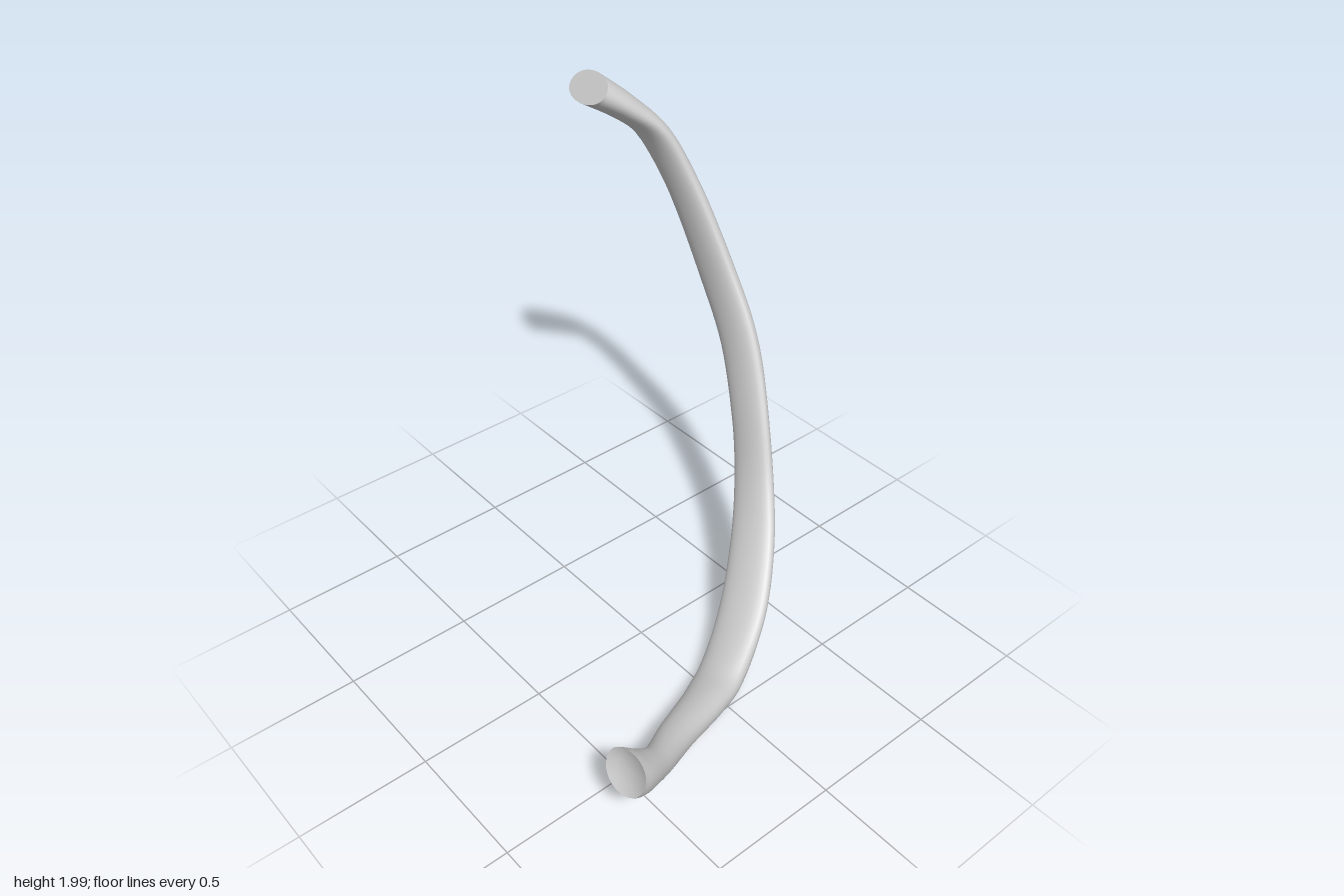
import * as THREE from 'three';

// Stations along the bone: centre x, y, z, half width, half thickness, twist
const STATIONS = [
  [-0.655, 0.34, 0.705, 0.087, 0.083, 0],
  [-0.61, 0.30, 0.70, 0.078, 0.075, 0],
  [-0.50, 0.225, 0.665, 0.056, 0.066, 0],
  [-0.31, 0.145, 0.565, 0.066, 0.056, 0.2],
  [-0.10, 0.085, 0.475, 0.085, 0.054, 0.3],
  [0.02, 0.07, 0.42, 0.098, 0.053, 0.3],
  [0.125, 0.11, 0.37, 0.104, 0.049, 0.25],
  [0.26, 0.212, 0.295, 0.104, 0.042, 0.1],
  [0.405, 0.38, 0.18, 0.098, 0.04, 0],
  [0.505, 0.56, 0.07, 0.092, 0.04, 0],
  [0.57, 0.78, -0.035, 0.09, 0.038, 0],
  [0.625, 1.03, -0.17, 0.093, 0.042, 0],
  [0.635, 1.25, -0.31, 0.098, 0.043, 0],
  [0.59, 1.60, -0.49, 0.092, 0.04, 0],
  [0.525, 1.78, -0.585, 0.102, 0.042, 0],
  [0.43, 1.875, -0.645, 0.11, 0.052, 0],
  [0.33, 1.948, -0.688, 0.11, 0.062, 0],
];
const RINGS = 96;
const SIDES = 28;

// One oval cross-section, slightly flatter on the inner side
function makeRing(centre, tangent, halfWidth, halfThick, twist) {
  const wide = new THREE.Vector3(0, twist, 1);
  wide.addScaledVector(tangent, -wide.dot(tangent)).normalize();
  const thick = new THREE.Vector3().crossVectors(tangent, wide);
  const ring = [];
  for (let j = 0; j < SIDES; j++) {
    const a = (j / SIDES) * Math.PI * 2;
    const c = Math.cos(a), s = Math.sin(a);
    const w = Math.sign(c) * Math.abs(c) ** 0.95 * halfWidth;
    const t = Math.sign(s) * Math.abs(s) ** 0.95 * halfThick * (s > 0 ? 1.05 : 0.95);
    ring.push(centre.clone().addScaledVector(wide, w).addScaledVector(thick, t));
  }
  return ring;
}

function toGeometry(points, index) {
  const geometry = new THREE.BufferGeometry().setFromPoints(points);
  geometry.setIndex(index);
  geometry.computeVertexNormals();
  return geometry;
}

// End face: rim, inner ring and centre, dished by the given depth
function makeCap(ring, inward, depth, flip) {
  const centre = ring.reduce((sum, p) => sum.add(p), new THREE.Vector3()).divideScalar(SIDES);
  const inner = ring.map((p) => p.clone().lerp(centre, 0.4).addScaledVector(inward, depth * 0.7));
  const points = [...ring, ...inner, centre.addScaledVector(inward, depth)];
  const index = [];
  const face = (a, b, c) => index.push(...(flip ? [a, c, b] : [a, b, c]));
  for (let j = 0; j < SIDES; j++) {
    const k = (j + 1) % SIDES;
    face(j, k, SIDES + k);
    face(j, SIDES + k, SIDES + j);
    face(SIDES + j, SIDES + k, 2 * SIDES);
  }
  return toGeometry(points, index);
}

export function createModel() {
  const group = new THREE.Group();
  group.name = 'ribBone';
  const bone = new THREE.MeshStandardMaterial({ color: 0xcccccc });
  bone.name = 'bone grey';

  const path = new THREE.CatmullRomCurve3(STATIONS.map((s) => new THREE.Vector3(s[0], s[1], s[2])));
  const size = new THREE.CatmullRomCurve3(
    STATIONS.map((s) => new THREE.Vector3(s[3], s[4], s[5])), false, 'catmullrom', 0.5);
  const startDir = new THREE.Vector3(0.95, -0.3, -0.1).normalize();
  const endDir = new THREE.Vector3(-0.76, 0.63, -0.1).normalize();

  // Loft the cross-sections, easing the ends towards their cut planes
  const rings = [];
  for (let i = 0; i <= RINGS; i++) {
    const u = i / RINGS;
    const tangent = path.getTangent(u);
    tangent.lerp(startDir, Math.max(0, 1 - u * 12)).lerp(endDir, Math.max(0, 1 - (1 - u) * 12)).normalize();
    const s = size.getPoint(u);
    rings.push(makeRing(path.getPoint(u), tangent, s.x, s.y, s.z));
  }
  const index = [];
  for (let i = 0; i < RINGS; i++) {
    for (let j = 0; j < SIDES; j++) {
      const k = (j + 1) % SIDES;
      const a = i * SIDES + j, b = i * SIDES + k;
      index.push(a, b, b + SIDES, a, b + SIDES, a + SIDES);
    }
  }

  const add = (name, geometry) => {
    const mesh = new THREE.Mesh(geometry, bone);
    mesh.name = name;
    group.add(mesh);
  };
  add('ribShaft', toGeometry(rings.flat(), index));
  add('frontEndFace', makeCap(rings[0], startDir, 0.02, true));
  add('rearEndFace', makeCap(rings[RINGS], endDir, 0, false));
  return group;
}
